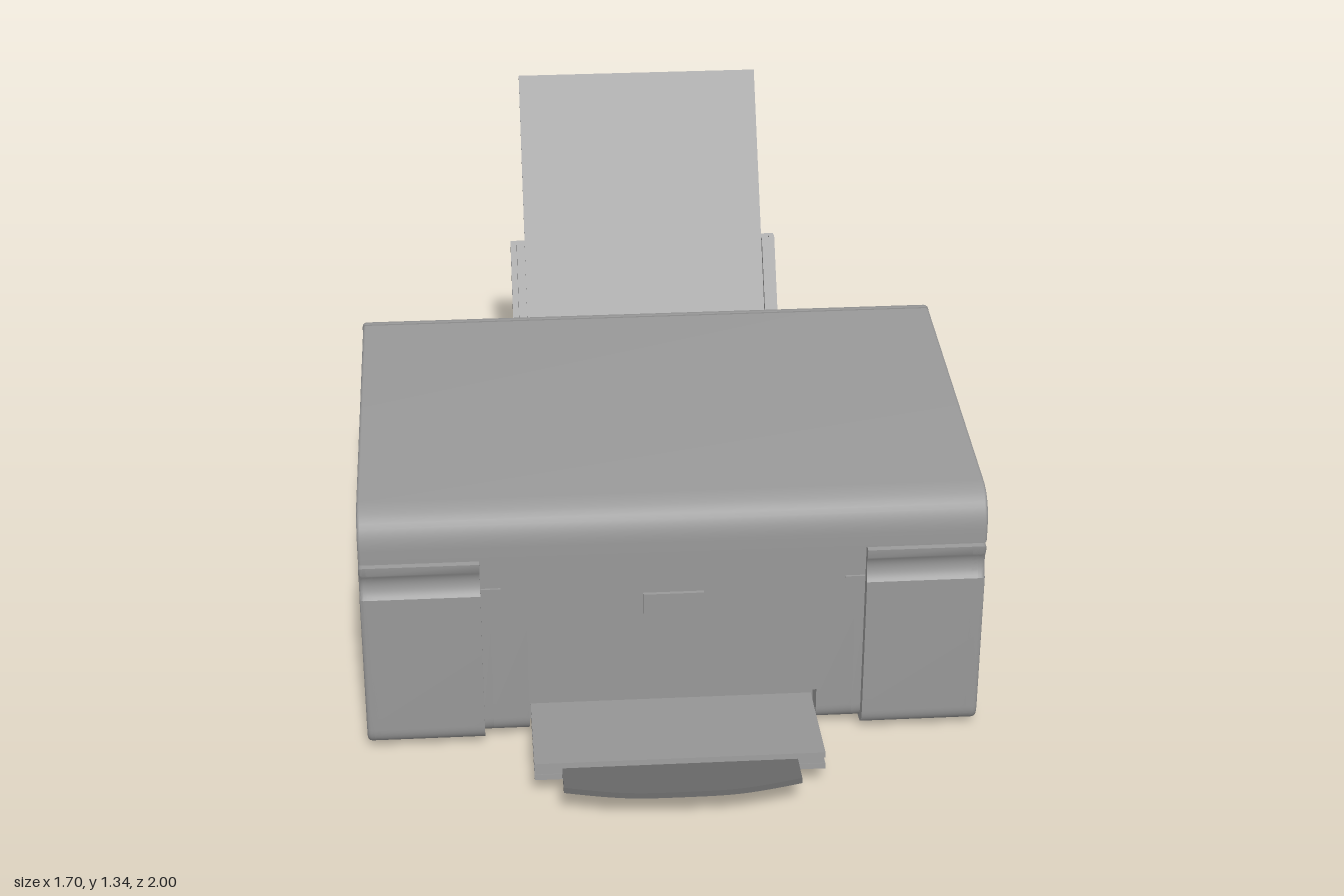
import * as THREE from 'three';
import { toCreasedNormals } from 'three/addons/utils/BufferGeometryUtils.js';

const plastic = new THREE.MeshStandardMaterial({ color: 0x999999, side: THREE.DoubleSide });
const darkPlastic = new THREE.MeshStandardMaterial({ color: 0x6a6a6a, side: THREE.DoubleSide });

function add(parent, name, geometry, x = 0, y = 0, z = 0, material = plastic) {
  const mesh = new THREE.Mesh(geometry, material);
  mesh.name = name;
  mesh.position.set(x, y, z);
  parent.add(mesh);
  return mesh;
}

const box = (w, h, d) => new THREE.BoxGeometry(w, h, d);

// Extrudes a (z, y) profile along x from x0 to x1, with optionally rounded ends
function extrudeX(shape, x0, x1, bevel = 0) {
  const g = new THREE.ExtrudeGeometry(shape, {
    depth: x1 - x0 - 2 * bevel, curveSegments: 10,
    bevelEnabled: bevel > 0, bevelThickness: bevel, bevelSize: bevel, bevelOffset: -bevel, bevelSegments: 3,
  });
  g.rotateY(-Math.PI / 2).translate(x1 - bevel, 0, 0);
  return toCreasedNormals(g, 0.6);
}

// Side section of the housing, with optional paper slot, tray opening and front column
function bodyProfile({ column = false, slot = false, opening = false }) {
  const f = column ? 0.615 : 0.58;
  const s = new THREE.Shape();
  s.moveTo(-0.6, 0);
  s.lineTo(0.5, 0.012);
  if (opening) {
    s.lineTo(0.5, 0.13);
    s.lineTo(f, 0.13);
  } else {
    s.lineTo(f - 0.07, 0.0122);
    s.quadraticCurveTo(f, 0.015, f, 0.075);
  }
  if (column) {
    // finger groove
    s.lineTo(f, 0.5);
    s.bezierCurveTo(0.595, 0.52, 0.592, 0.55, 0.61, 0.575);
    s.lineTo(0.612, 0.6);
  } else {
    s.lineTo(f, 0.6);
  }
  s.lineTo(0.574, 0.602);
  s.lineTo(0.574, 0.635);
  s.quadraticCurveTo(0.574, 0.715, 0.494, 0.715);
  s.lineTo(-0.503, 0.715);
  s.lineTo(-0.503, 0.755);
  s.quadraticCurveTo(-0.515, 0.756, -0.53, 0.749);
  if (slot) {
    // slanted back wall, parallel to the paper
    s.lineTo(-0.53, 0.531);
    s.lineTo(-0.63, 0.672);
  } else {
    s.lineTo(-0.55, 0.738);
  }
  s.lineTo(-0.69, 0.622);
  s.quadraticCurveTo(-0.71, 0.605, -0.71, 0.575);
  s.lineTo(-0.703, 0.1);
  s.quadraticCurveTo(-0.7, 0.005, -0.6, 0);
  return s;
}

function lidProfile() {
  const s = new THREE.Shape();
  s.moveTo(-0.496, 0.755);
  s.lineTo(0.52, 0.755);
  s.bezierCurveTo(0.58, 0.752, 0.615, 0.715, 0.615, 0.655);
  s.lineTo(0.615, 0.613);
  s.lineTo(0.576, 0.613);
  s.lineTo(0.576, 0.635);
  s.quadraticCurveTo(0.576, 0.717, 0.494, 0.717);
  s.lineTo(-0.496, 0.717);
  s.closePath();
  return s;
}

// Flat tongue with a bowed end, drawn in x/y
function tongue(halfWidth, y0, yCorner, yTip, thickness) {
  const s = new THREE.Shape();
  s.moveTo(-halfWidth, y0);
  s.lineTo(halfWidth, y0);
  s.lineTo(halfWidth, yCorner);
  s.bezierCurveTo(halfWidth * 0.5, yTip, halfWidth * 0.4, yTip, 0, yTip);
  s.bezierCurveTo(-halfWidth * 0.4, yTip, -halfWidth * 0.5, yTip, -halfWidth, yCorner);
  s.closePath();
  const g = new THREE.ExtrudeGeometry(s, { depth: thickness, bevelEnabled: false, curveSegments: 12 });
  return g.translate(0, 0, -thickness / 2);
}

export function createModel() {
  const printer = new THREE.Group();
  printer.name = 'printer';

  // Housing
  const housing = new THREE.Group();
  housing.name = 'housing';
  printer.add(housing);
  add(housing, 'middleHousing', extrudeX(bodyProfile({ slot: true, opening: true }), -0.4, 0.4));
  const sections = [
    ['slotEndHousing', { slot: true }, 0.4, 0.5, 0],
    ['innerHousing', {}, 0.5, 0.525, 0],
    ['frontColumn', { column: true }, 0.525, 0.83, 0],
    ['sidePanel', { column: true }, 0.8, 0.85, 0.012],
  ];
  for (const [name, options, a, b, bevel] of sections) {
    const profile = bodyProfile(options);
    add(housing, name + 'Left', extrudeX(profile, a, b, bevel));
    add(housing, name + 'Right', extrudeX(profile, -b, -a, bevel));
  }
  add(printer, 'scannerLid', extrudeX(lidProfile(), -0.848, 0.848, 0.008));

  // Front panel details
  add(printer, 'frontButton', box(0.166, 0.066, 0.02), 0, 0.438, 0.58);
  for (const side of [-1, 1]) add(printer, 'panelLatch', box(0.055, 0.006, 0.012), side * 0.497, 0.5, 0.58);

  // Output tray, tilted up towards the front
  const tray = new THREE.Group();
  tray.name = 'outputTray';
  tray.position.set(0, 0.052, 0.6);
  tray.rotation.x = -0.12;
  printer.add(tray);
  add(tray, 'trayTop', box(0.79, 0.016, 0.37), 0, 0.016, 0.065);
  add(tray, 'trayCore', box(0.784, 0.02, 0.366), 0, 0, 0.064);
  add(tray, 'trayBottom', box(0.79, 0.016, 0.37), 0, -0.017, 0.065);
  add(tray, 'trayExtension', tongue(0.32, 0.1, 0.355, 0.404, 0.016).rotateX(Math.PI / 2), 0, 0, 0, darkPlastic);

  // Rear paper feed, leaning back
  const feed = new THREE.Group();
  feed.name = 'paperFeed';
  feed.position.set(0, 0.7, -0.54);
  feed.rotation.x = -0.617;
  printer.add(feed);
  add(feed, 'paperSheet', box(0.716, 0.83, 0.01), 0, 0.363, 0);
  add(feed, 'paperSupport', box(0.8, 0.32, 0.022), 0, 0.12, -0.052);
  add(feed, 'supportExtension', tongue(0.32, 0.1, 0.35, 0.416, 0.016), 0, 0, -0.033);
  for (const side of [-1, 1]) {
    add(feed, 'paperGuide', box(0.022, 0.3, 0.05), side * 0.371, 0.11, -0.018);
    add(feed, 'supportRail', box(0.016, 0.3, 0.03), side * 0.392, 0.12, -0.03);
  }
  return printer;
}
